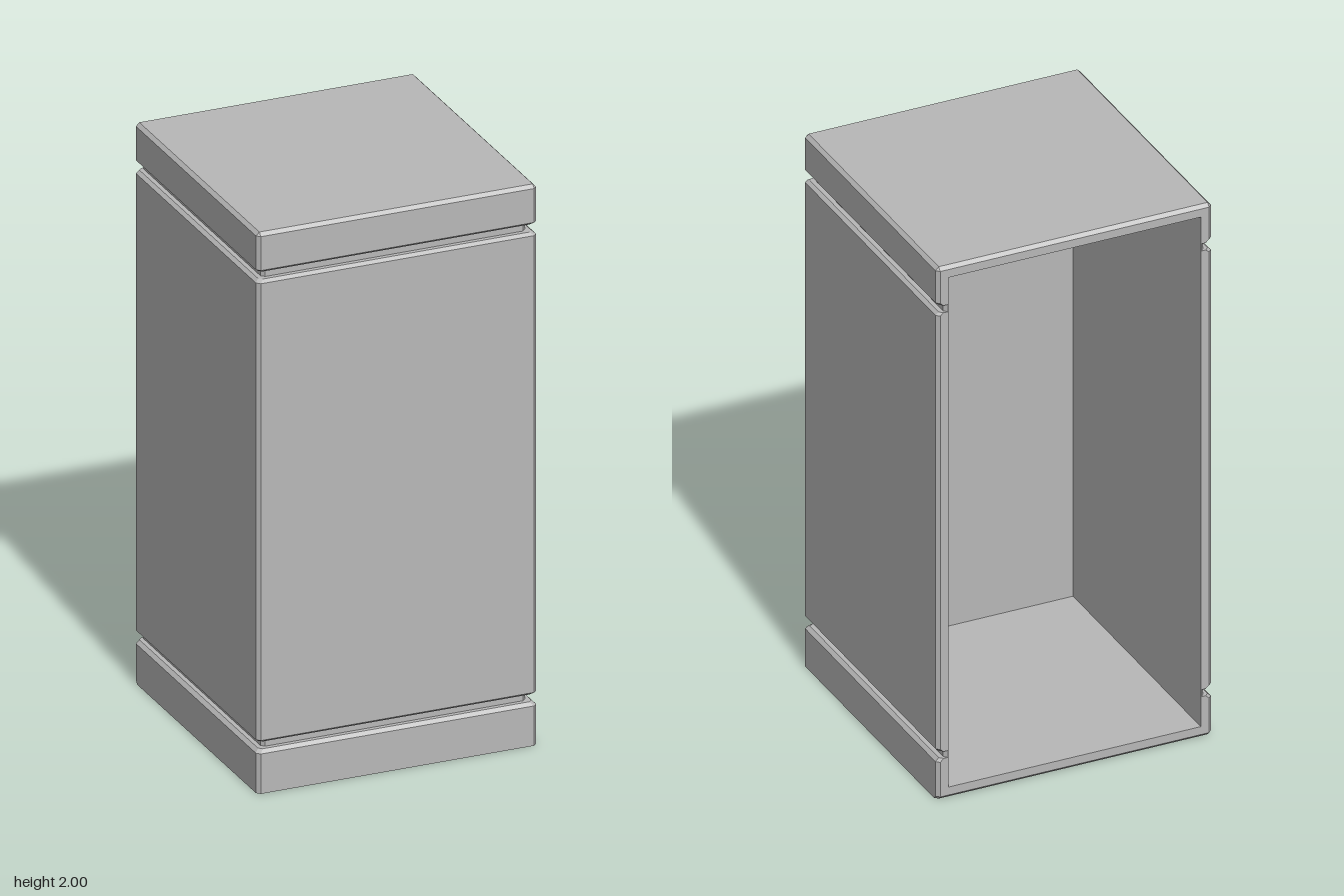
import * as THREE from 'three';

const EDGE = 0.012;   // chamfer width
const WALL = 0.042;   // shell thickness
const BACK = -0.5;

// Horizontal cross-section: a square with clipped corners, counter-clockwise from above
function ring([y, h, zb = BACK, c = EDGE]) {
  return [
    [h, h - c], [h, zb + c], [h - c, zb], [-h + c, zb],
    [-h, zb + c], [-h, h - c], [-h + c, h], [h - c, h],
  ].map(([x, z]) => [x, y, z]);
}

// Flat-faced skin through the given levels, left open on the back plane
function skin(levels, capBottom, capTop) {
  const rings = levels.map(ring);
  const pos = [];
  const tri = (a, b, c) => pos.push(...a, ...b, ...c);
  for (let k = 0; k < rings.length - 1; k++) {
    const lo = rings[k], hi = rings[k + 1];
    for (let i = 0; i < 8; i++) {
      const j = (i + 1) % 8;
      if (i === 2 && lo[i][2] === BACK && hi[i][2] === BACK) continue;
      tri(lo[i], lo[j], hi[j]);
      tri(lo[i], hi[j], hi[i]);
    }
  }
  for (let i = 1; i < 7; i++) {
    const b = rings[0], t = rings[rings.length - 1];
    if (capBottom) tri(b[0], b[i + 1], b[i]);
    if (capTop) tri(t[0], t[i], t[i + 1]);
  }
  const geo = new THREE.BufferGeometry();
  geo.setAttribute('position', new THREE.Float32BufferAttribute(pos, 3));
  geo.computeVertexNormals();
  return geo;
}

export function createModel() {
  const model = new THREE.Group();
  model.name = 'openBackedPedestal';
  const grey = new THREE.MeshStandardMaterial({ color: 0xb8b8b8 });
  grey.name = 'grey';
  const add = (name, geo) => {
    const mesh = new THREE.Mesh(geo, grey);
    mesh.name = name;
    model.add(mesh);
    return mesh;
  };

  // Levels: [height, half width, back z, corner chamfer]
  const base = [[0, 0.5, BACK + EDGE], [EDGE, 0.5], [0.142, 0.5], [0.154, 0.488], [0.154, 0.472]];
  const lowerGroove = [[0.154, 0.472], [0.18, 0.472]];
  const body = [[0.18, 0.472], [0.18, 0.488], [0.19, 0.5], [1.82, 0.5], [1.83, 0.488], [1.83, 0.472]];
  const upperGroove = [[1.83, 0.472], [1.857, 0.472]];
  const lid = [[1.857, 0.472], [1.857, 0.488], [1.867, 0.5], [2 - EDGE, 0.5], [2, 0.488, BACK + EDGE, 0]];

  // Outer skin, bottom to top
  add('base', skin(base, true, false));
  add('lowerGroove', skin(lowerGroove));
  add('bodyPanels', skin(body));
  add('upperGroove', skin(upperGroove));
  add('lid', skin(lid, false, true));

  // Rim round the open back, following the grooved side profile
  const side = [...base.slice(1), ...body, ...lid.slice(0, -1)].map(([y, h]) => [h - EDGE, y]);
  const outline = [...side, ...side.map(([x, y]) => [-x, y]).reverse()];
  const rim = new THREE.Shape(outline.map(([x, y]) => new THREE.Vector2(x, y)));
  const w = 0.5 - WALL;
  rim.holes.push(new THREE.Path([
    new THREE.Vector2(-w, WALL), new THREE.Vector2(-w, 2 - WALL),
    new THREE.Vector2(w, 2 - WALL), new THREE.Vector2(w, WALL),
  ]));
  const rimMesh = add('backRim', new THREE.ShapeGeometry(rim));
  rimMesh.rotation.y = Math.PI;
  rimMesh.position.z = BACK;

  // Inside faces: a box turned inside out without its back side
  const depth = 1 - WALL;
  const box = new THREE.BoxGeometry(2 * w, 2 - 2 * WALL, depth);
  box.setIndex(Array.from(box.index.array).slice(0, 30).reverse());
  box.clearGroups();
  const cavity = box.toNonIndexed();
  cavity.computeVertexNormals();
  add('cavity', cavity).position.set(0, 1, BACK + depth / 2);

  return model;
}
